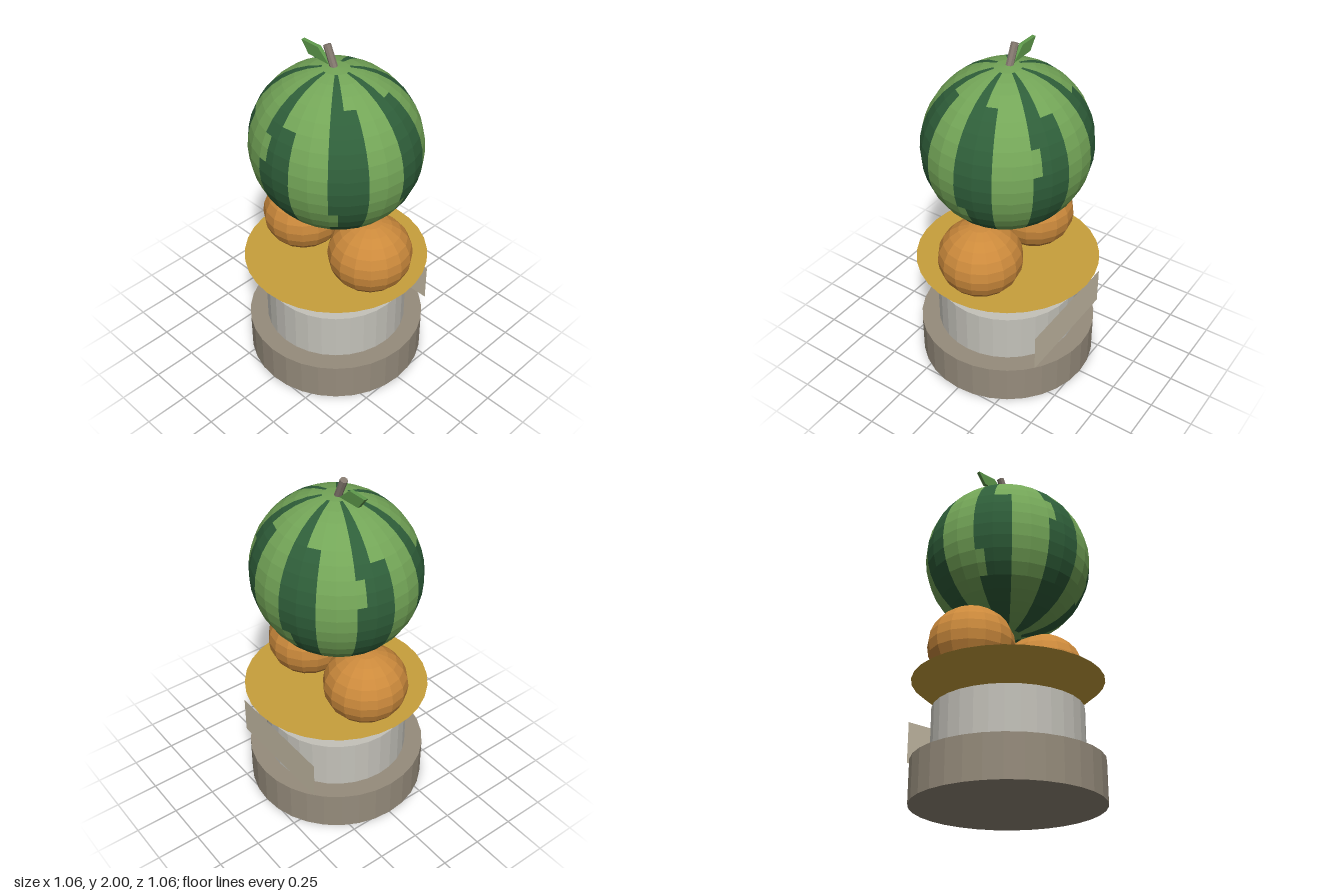
import * as THREE from 'three';

const mat = (name, color, side = THREE.FrontSide) => {
  const m = new THREE.MeshStandardMaterial({ color, flatShading: true, side });
  m.name = name;
  return m;
};

// Faceted melon skin: 28 x 20 facets, each halved sideways so stripe edges can step.
function melonSkin(wantDark) {
  const COLS = 28, ROWS = 20, pos = [];
  const point = (i, j) => {
    const p = (i / ROWS) * Math.PI, t = (j / COLS) * Math.PI * 2;
    return new THREE.Vector3(0.485 * Math.sin(p) * Math.cos(t), 0.46 * Math.cos(p), 0.46 * Math.sin(p) * Math.sin(t));
  };
  const isDark = (i, h) => {
    const stripe = Math.floor(h / 8), q = h % 8; // q 4..7 is the dark band
    if (i < 1 || i > 18) return false;
    const step = [4, 6, 7, 6, 5, 5, 4][stripe];
    if (i < step) return q >= 6; // narrow towards the stem
    if (i === 7 || i === 8) return stripe % 2 ? q >= 4 && q < 7 : q >= 4;
    if (i === 12 || i === 13) return stripe % 2 ? q >= 4 : q >= 4 && q < 7;
    return q >= 4;
  };
  for (let i = 0; i < ROWS; i++) {
    for (let h = 0; h < COLS * 2; h++) {
      if (isDark(i, h) !== wantDark) continue;
      const j = Math.floor(h / 2), u = (h % 2) / 2;
      const at = (r, f) => point(r, j).lerp(point(r, j + 1), f);
      const a = at(i, u), b = at(i + 1, u), c = at(i + 1, u + 0.5), d = at(i, u + 0.5);
      const tris = [];
      if (i > 0) tris.push(a, d, c);
      if (i < ROWS - 1) tris.push(a, c, b);
      if (i === 0) tris.length = 0, tris.push(a, c, b);
      for (const v of tris) pos.push(v.x, v.y, v.z);
    }
  }
  const g = new THREE.BufferGeometry();
  g.setAttribute('position', new THREE.Float32BufferAttribute(pos, 3));
  g.computeVertexNormals();
  return g;
}

export function createModel() {
  const model = new THREE.Group();
  const stone = mat('stone', 0x968c7c);
  const silver = mat('silver', 0xc4c2ba);
  const gold = mat('gold', 0xc8a03c);
  const orange = mat('orange', 0xcc8a3c);
  const lightGreen = mat('lightGreen', 0x74a658);
  const darkGreen = mat('darkGreen', 0x2f5f3a);
  const leafGreen = mat('leafGreen', 0x5f9a4c);
  const bark = mat('bark', 0x857a70);
  const plaqueMat = mat('plaque', 0xc4baa4, THREE.DoubleSide);

  const add = (name, geo, material, x = 0, y = 0, z = 0) => {
    const m = new THREE.Mesh(geo, material);
    m.name = name;
    m.position.set(x, y, z);
    model.add(m);
    return m;
  };
  const drum = (name, material, rTop, rBottom, y0, y1) =>
    add(name, new THREE.CylinderGeometry(rTop, rBottom, y1 - y0, 32), material, 0, (y0 + y1) / 2);

  // Pedestal and dish
  drum('base', stone, 0.52, 0.52, 0, 0.235);
  drum('column', silver, 0.415, 0.415, 0.235, 0.525);
  drum('dish', gold, 0.53, 0.34, 0.525, 0.685);

  // Flat plaque on the back of the column
  add('plaque', new THREE.PlaneGeometry(0.7, 0.23), plaqueMat, 0, 0.375, -0.42).rotation.y = Math.PI;

  // Two oranges
  for (const s of [-1, 1]) {
    add(s < 0 ? 'rightOrange' : 'leftOrange', new THREE.SphereGeometry(0.237, 16, 12), orange, s * 0.268, 0.828, 0)
      .scale.set(1, 0.92, 1.01);
  }

  // Melon
  add('melonSkin', melonSkin(false), lightGreen, 0, 1.43, 0);
  add('melonStripes', melonSkin(true), darkGreen, 0, 1.43, 0);

  // Stem leaning to the right
  const stem = add('stem', new THREE.CylinderGeometry(0.021, 0.021, 0.13, 8), bark, -0.037, 1.933, 0);
  stem.rotation.z = 0.42;

  // Leaf
  const outline = [[-0.04, 1.89], [-0.12, 1.96], [-0.24, 1.96], [-0.19, 1.895]];
  const leafShape = new THREE.Shape(outline.map(([x, y]) => new THREE.Vector2(x, y)));
  add('leaf', new THREE.ExtrudeGeometry(leafShape, { depth: 0.022, bevelEnabled: false }), leafGreen, 0, 0, -0.011);

  return model;
}
